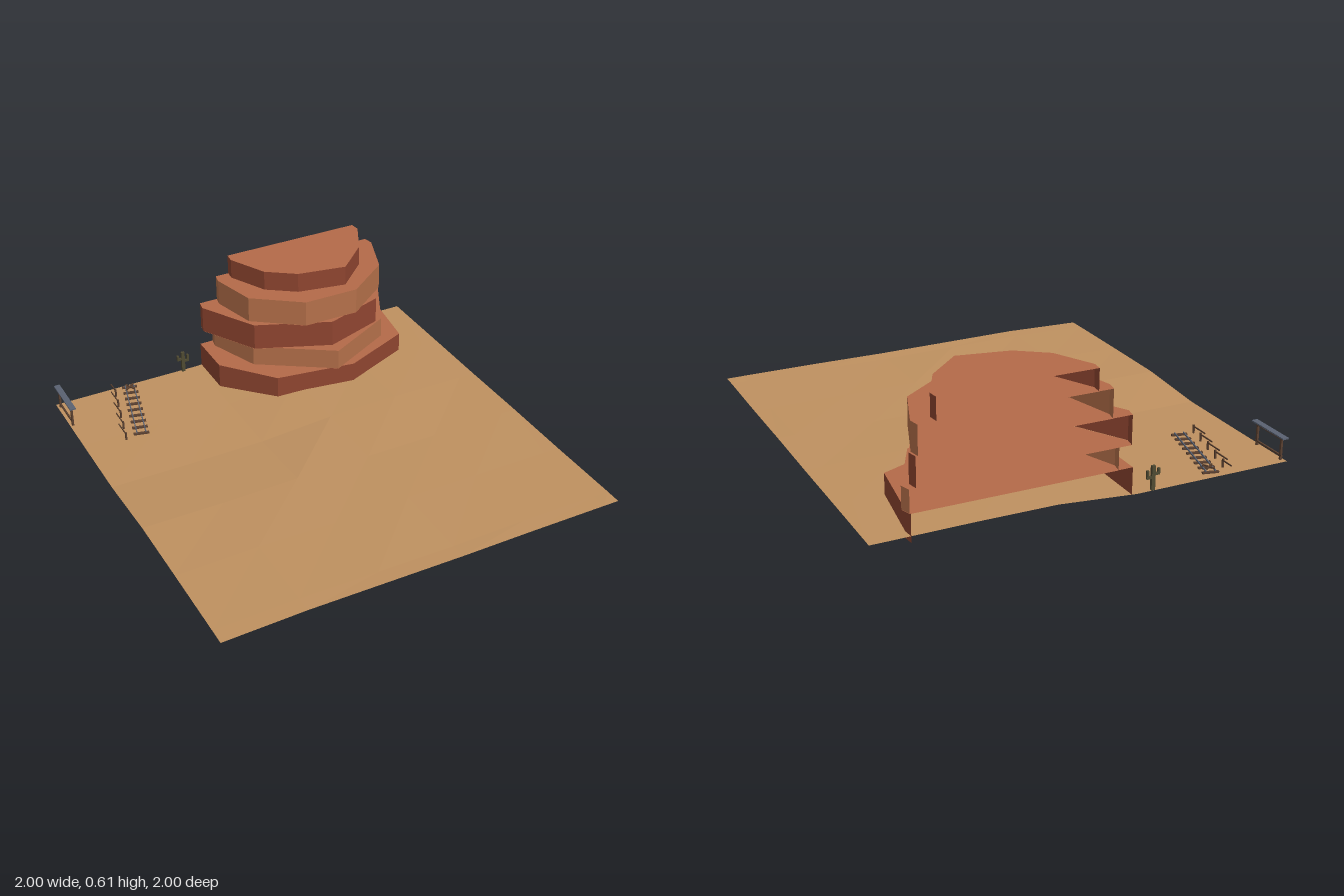
import * as THREE from 'three';

const mat = (name, color, side = THREE.DoubleSide) => {
  const m = new THREE.MeshStandardMaterial({ color, side, flatShading: true });
  m.name = name;
  return m;
};

export function createModel() {
  const sand = mat('sand', 0xbf9160);
  const redRock = mat('red rock', 0x8f4530);
  const brownRock = mat('brown rock', 0xb5704a);
  const rockTop = mat('rock ledge', 0xb46a49);
  const wood = mat('dark wood', 0x5a4030, THREE.FrontSide);
  const steel = mat('slate steel', 0x5a6272, THREE.FrontSide);
  const cactusSkin = mat('dry cactus', 0x4f4a32, THREE.FrontSide);

  const root = new THREE.Group();
  root.name = 'desertDiorama';

  const add = (parent, name, geometry, material, x = 0, y = 0, z = 0) => {
    const mesh = new THREE.Mesh(geometry, material);
    mesh.name = name;
    mesh.position.set(x, y, z);
    parent.add(mesh);
    return mesh;
  };
  const box = (parent, name, material, size, pos) =>
    add(parent, name, new THREE.BoxGeometry(...size), material, ...pos);
  const group = (name) => {
    const g = new THREE.Group();
    g.name = name;
    root.add(g);
    return g;
  };

  // Ground: coarse uneven sheet with a flat hollow in the back left corner of the plan
  const lines = [-1, -0.6, -0.22, 0.16, 0.53, 0.92, 1];
  const heights = [
    [0, 0, 0, 0.03, 0.032, 0.03, 0.03],
    [0, 0, 0, 0.03, 0.03, 0.031, 0.03],
    [0.002, 0, 0.003, 0.029, 0.034, 0.03, 0.029],
    [0.03, 0.027, 0.033, 0.03, 0.028, 0.032, 0.031],
    [0.034, 0.04, 0.03, 0.035, 0.031, 0.028, 0.029],
    [0.036, 0.044, 0.037, 0.031, 0.034, 0.03, 0.031],
    [0.036, 0.044, 0.039, 0.034, 0.034, 0.031, 0.03],
  ];
  const groundGeo = new THREE.PlaneGeometry(2, 2, 6, 6).rotateX(-Math.PI / 2);
  const gp = groundGeo.attributes.position;
  for (let r = 0; r < 7; r++)
    for (let c = 0; c < 7; c++) gp.setXYZ(r * 7 + c, lines[c], heights[r][c], lines[r]);
  groundGeo.computeVertexNormals();
  add(root, 'ground', groundGeo, sand);

  // Mesa: stacked strata, each an outline open along the back edge
  const mesa = group('mesa');
  const wall = (outline, y0, y1) => {
    const pos = [];
    for (let i = 0; i < outline.length - 1; i++) {
      const [ax, az] = outline[i];
      const [bx, bz] = outline[i + 1];
      pos.push(ax, y0, az, bx, y0, bz, bx, y1, bz);
      pos.push(ax, y0, az, bx, y1, bz, ax, y1, az);
    }
    const g = new THREE.BufferGeometry();
    g.setAttribute('position', new THREE.Float32BufferAttribute(pos, 3));
    g.computeVertexNormals();
    return g;
  };
  const cap = (outline) =>
    new THREE.ShapeGeometry(
      new THREE.Shape(outline.map(([x, z]) => new THREE.Vector2(x, -z)))
    ).rotateX(-Math.PI / 2);

  const strata = [
    [0, 0.13, [[-0.195, -1], [-0.195, -0.765], [0.015, -0.515], [0.42, -0.455], [0.775, -0.6], [0.825, -0.95], [0.82, -1]]],
    [0.13, 0.235, [[-0.125, -1], [-0.135, -0.95], [-0.035, -0.69], [0.33, -0.452], [0.68, -0.63], [0.84, -0.95], [0.825, -1]]],
    [0.235, 0.372, [[-0.185, -1], [-0.195, -0.95], [-0.035, -0.67], [0.33, -0.517], [0.64, -0.62], [0.805, -0.95], [0.795, -1]]],
    [0.372, 0.505, [[-0.09, -1], [-0.1, -0.95], [-0.04, -0.72], [0.195, -0.547], [0.48, -0.545], [0.71, -0.715], [0.795, -0.95], [0.785, -1]]],
    [0.505, 0.607, [[-0.02, -1], [-0.025, -0.95], [0.07, -0.76], [0.21, -0.66], [0.455, -0.615], [0.62, -0.77], [0.71, -0.95], [0.705, -1]]],
  ];
  strata.forEach(([y0, y1, outline], i) => {
    add(mesa, 'stratumWall', wall(outline, y0, y1), i % 2 ? brownRock : redRock);
    add(mesa, 'stratumTop', cap(outline), rockTop, 0, y1, 0);
    if (i) add(mesa, 'stratumUnderside', cap(outline), rockTop, 0, y0 - 0.001, 0);
  });

  // Railway: sleepers and two rails, running slightly askew
  const track = group('railway');
  track.position.set(-0.665, 0, -0.76);
  track.rotation.y = -0.24;
  for (let i = 0; i < 9; i++)
    box(track, 'sleeper', wood, [0.076, 0.008, 0.014], [0, 0.009, (i - 4) * 0.053]);
  for (const s of [-1, 1])
    box(track, 'rail', steel, [0.005, 0.007, 0.43], [s * 0.022, 0.0165, 0]);
  // Crossed stop at the far end of the line
  for (const s of [-1, 1]) {
    const beam = box(track, 'stopBeam', wood, [0.006, 0.006, 0.06], [0, 0.026, -0.19]);
    beam.rotation.y = s * 0.65;
    box(track, 'stopPost', wood, [0.006, 0.024, 0.006], [s * 0.02, 0.018, -0.17]);
  }

  // Fence: staggered panels beside the track
  const fence = group('fence');
  for (let i = 0; i < 5; i++) {
    const x = -0.797 + i * 0.0235;
    const front = -0.55 - i * 0.095;
    const len = i === 4 ? 0.066 : 0.095;
    box(fence, 'fencePost', wood, [0.008, 0.042, 0.008], [x, 0.021, front]);
    box(fence, 'fenceRail', wood, [0.004, 0.006, len], [x, 0.034, front - len / 2]);
  }

  // Shelter: slatted roof on posts at the corner
  const shelter = group('shelter');
  for (const z of [-0.97, -0.79]) {
    box(shelter, 'shelterPost', wood, [0.01, 0.108, 0.01], [-0.985, 0.054, z]);
  }
  box(shelter, 'shelterBeam', wood, [0.008, 0.008, 0.2], [-0.985, 0.1, -0.88]);
  box(shelter, 'shelterFoot', wood, [0.008, 0.008, 0.2], [-0.985, 0.02, -0.88]);
  for (let i = 0; i < 16; i++)
    box(shelter, 'roofSlat', steel, [0.03, 0.007, 0.0145], [-0.985, 0.111, -0.9925 + i * 0.015]);

  // Cactus: trunk with two raised arms
  const cactus = group('cactus');
  const z = -0.992;
  box(cactus, 'cactusTrunk', cactusSkin, [0.018, 0.114, 0.014], [-0.302, 0.057, z]);
  for (const [s, y, h] of [[-1, 0.074, 0.024], [1, 0.06, 0.034]]) {
    box(cactus, 'cactusElbow', cactusSkin, [0.03, 0.011, 0.011], [-0.302 + s * 0.017, y, z]);
    box(cactus, 'cactusArm', cactusSkin, [0.011, h, 0.011], [-0.302 + s * 0.027, y + h / 2, z]);
  }

  return root;
}
